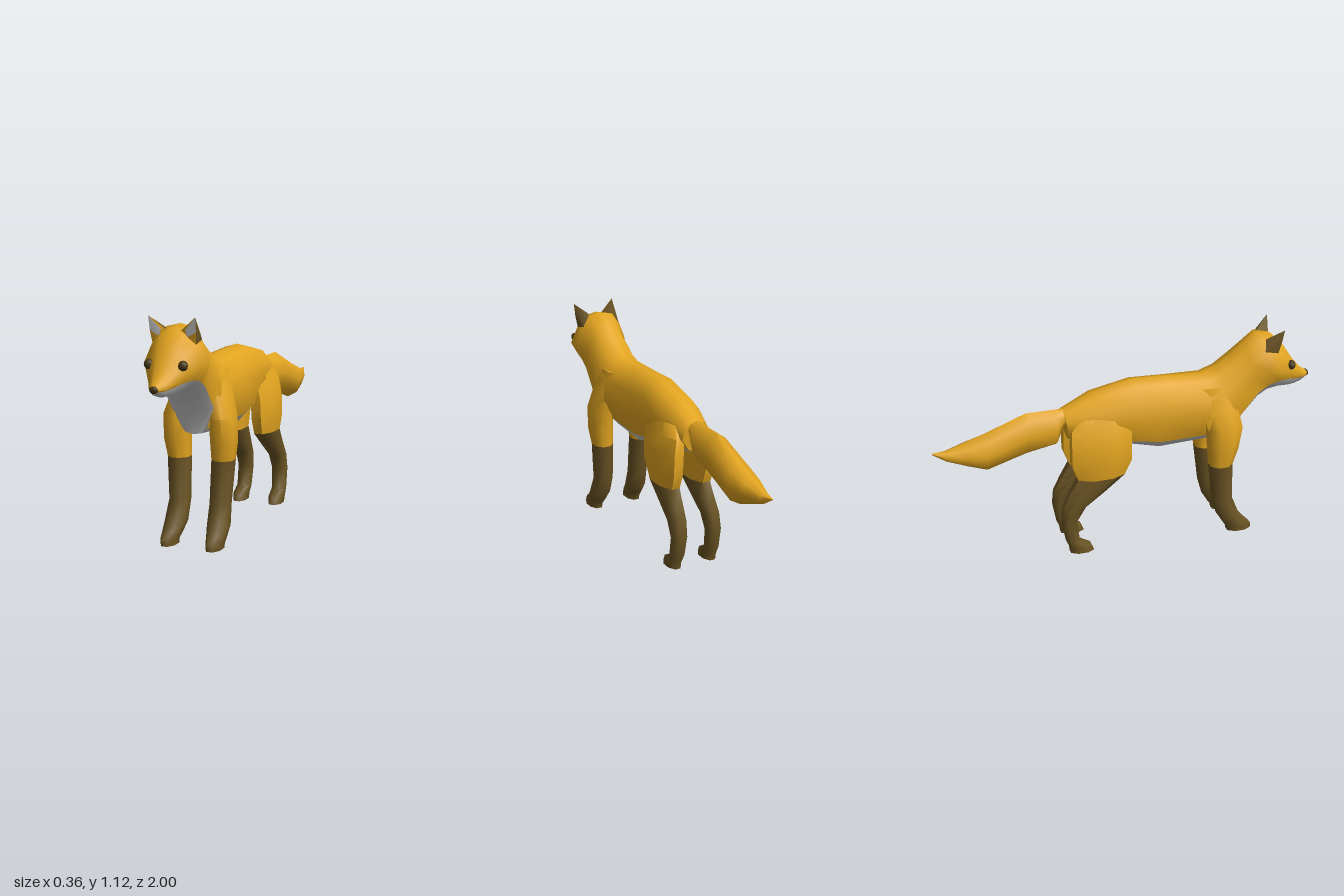
import * as THREE from 'three';
import { toCreasedNormals } from 'three/addons/utils/BufferGeometryUtils.js';

const paint = (color) => new THREE.MeshStandardMaterial({ color });
const ORANGE = paint(0xe3a520), BROWN = paint(0x6b5424), DARK = paint(0x463818), WHITE = paint(0xf5f5f5);

function mesh(name, geometry, material) {
  const m = new THREE.Mesh(geometry, material);
  m.name = name;
  return m;
}

function build(points, index) {
  const g = new THREE.BufferGeometry();
  g.setAttribute('position', new THREE.Float32BufferAttribute(points.flat(), 3));
  g.setIndex(index);
  g.computeVertexNormals();
  return toCreasedNormals(g, 1.1);
}

// Skin a list of rings; "keep" picks which columns of faces are made
function loft(rings, { keep = () => true, capStart = false, capEnd = false } = {}) {
  const n = rings[0].length, last = (rings.length - 1) * n, index = [];
  for (let i = 0; i < rings.length - 1; i++) {
    for (let j = 0; j < n; j++) {
      if (!keep(j)) continue;
      const a = i * n + j, b = i * n + (j + 1) % n;
      index.push(a, a + n, b, b, a + n, b + n);
    }
  }
  for (let j = 1; j < n - 1; j++) {
    if (capStart) index.push(0, j, j + 1);
    if (capEnd) index.push(last, last + j + 1, last + j);
  }
  return build(rings.flat(), index);
}

// Twelve-point body section: top and bottom points, half width,
// belly edge width and height fraction, fullness of the upper part
function bodyRing([zt, yt, zb, yb, w, wb, tb, k = 0.88]) {
  const half = [[0, 0], [0.58 * k * w, 0.05], [k * w, 0.27], [w, 0.56], [wb, tb],
    [0.68 * wb, tb + 0.75 * (1 - tb)], [0, 1]];
  const at = ([x, t], s) => [s * x, yt + (yb - yt) * t, zt + (zb - zt) * t];
  return [...half.map((p) => at(p, 1)), ...half.slice(1, 6).reverse().map((p) => at(p, -1))];
}

// Eight-sided leg section: height, back z, front z, inner x, outer x
function legRing([y, z0, z1, x0, x1], side) {
  return Array.from({ length: 8 }, (_, j) => {
    const a = (j + 0.5) * Math.PI / 4, k = 1 / Math.cos(Math.PI / 8);
    return [side * (x0 + x1) / 2 + k * Math.sin(a) * (x1 - x0) / 2, y,
      (z0 + z1) / 2 + k * Math.cos(a) * (z1 - z0) / 2];
  });
}

function leg(name, upper, lower, side) {
  const g = new THREE.Group();
  g.name = name;
  const ring = (r) => legRing(r, side);
  g.add(mesh('upperLeg', loft(upper.map(ring), { capStart: true }), ORANGE));
  g.add(mesh('stocking', loft([upper.at(-1), ...lower].map(ring), { capEnd: true }), BROWN));
  return g;
}

// Ear pyramid with a dark back, coat-coloured rim and pale hollow
function ear(side) {
  const g = new THREE.Group();
  g.name = side > 0 ? 'leftEar' : 'rightEar';
  const tip = [0.116, 1.12, 0.8], inner = [0.035, 1.055, 0.775], outer = [0.108, 0.995, 0.775];
  const hollowIn = [0.06, 1.06, 0.785], hollowLow = [0.07, 1.028, 0.785], hollowOut = [0.114, 1.052, 0.788];
  const base = [0.06, 1.0, 0.78], back = [0.108, 1.01, 0.705], innerBack = [0.052, 1.045, 0.7];
  const face = (name, mat, ...tris) => {
    const pts = tris.flat().map(([x, y, z]) => [side * x, y, z]);
    const idx = tris.flatMap((_, i) => side > 0 ? [3 * i, 3 * i + 1, 3 * i + 2] : [3 * i, 3 * i + 2, 3 * i + 1]);
    g.add(mesh(name, build(pts, idx), mat));
  };
  face('earBack', BROWN, [tip, hollowOut, back], [hollowOut, outer, back],
    [tip, back, innerBack], [tip, innerBack, inner]);
  face('earRim', ORANGE, [tip, inner, hollowIn], [inner, base, hollowLow], [inner, hollowLow, hollowIn],
    [hollowLow, base, outer], [hollowLow, outer, hollowOut]);
  face('earHollow', WHITE, [tip, hollowIn, hollowLow], [tip, hollowLow, hollowOut]);
  face('earBase', BROWN, [base, inner, innerBack], [base, innerBack, back], [base, back, outer]);
  return g;
}

export function createModel() {
  const fox = new THREE.Group();
  fox.name = 'fox';

  // Torso, neck and head in one skin, rump to muzzle
  const body = [
    [-0.335, 0.787, -0.315, 0.63, 0.075, 0.035, 0.93],
    [-0.18, 0.86, -0.22, 0.595, 0.11, 0.06, 0.92],
    [0.03, 0.905, 0.0, 0.565, 0.12, 0.085, 0.9],
    [0.2, 0.9, 0.16, 0.52, 0.122, 0.085, 0.87],
    [0.41, 0.89, 0.4, 0.53, 0.14, 0.08, 0.89],
    [0.48, 0.92, 0.57, 0.54, 0.13, 0.065, 0.92],
    [0.56, 0.975, 0.59, 0.645, 0.122, 0.112, 0.9],
    [0.62, 1.025, 0.69, 0.745, 0.118, 0.11, 0.84, 0.82],
    [0.7, 1.08, 0.74, 0.775, 0.153, 0.11, 0.84, 0.76],
    [0.77, 1.067, 0.8, 0.78, 0.145, 0.105, 0.8, 0.76],
    [0.84, 1.0, 0.87, 0.77, 0.1, 0.08, 0.74, 0.82],
    [0.9, 0.91, 0.91, 0.77, 0.066, 0.055, 0.68],
    [0.95, 0.855, 0.95, 0.78, 0.042, 0.036, 0.65],
    [0.99, 0.828, 0.98, 0.797, 0.022, 0.019, 0.7],
  ].map(bodyRing);
  const isBelly = (j) => j >= 4 && j <= 7;
  fox.add(mesh('coat', loft(body, { keep: (j) => !isBelly(j), capStart: true, capEnd: true }), ORANGE));
  fox.add(mesh('chestAndBelly', loft(body, { keep: isBelly }), WHITE));

  // Tail: z, bottom y, top y, half width
  const tail = [
    [-0.3, 0.71, 0.78, 0.035], [-0.335, 0.7, 0.793, 0.047], [-0.37, 0.6, 0.793, 0.055],
    [-0.52, 0.572, 0.793, 0.065], [-0.73, 0.51, 0.712, 0.075], [-0.83, 0.55, 0.676, 0.063],
    [-0.93, 0.59, 0.645, 0.028], [-0.995, 0.634, 0.642, 0.003],
  ].map(([z, y0, y1, w]) => Array.from({ length: 8 }, (_, j) => {
    const a = j * Math.PI / 4;
    return [-w * Math.sin(a), (y0 + y1) / 2 + Math.cos(a) * (y1 - y0) / 2, z];
  }));
  fox.add(mesh('tail', loft(tail, { capStart: true, capEnd: true }), ORANGE));

  // Legs: rings from the shoulder or hip down to the sole
  const foreUpper = [
    [0.84, 0.36, 0.53, 0.04, 0.105], [0.72, 0.37, 0.565, 0.05, 0.145], [0.62, 0.4, 0.585, 0.06, 0.177],
    [0.5, 0.41, 0.565, 0.062, 0.18], [0.41, 0.42, 0.54, 0.062, 0.168],
  ];
  const foreLower = [
    [0.2, 0.445, 0.55, 0.058, 0.155], [0.1, 0.475, 0.59, 0.06, 0.163],
    [0.06, 0.5, 0.625, 0.07, 0.16], [0.025, 0.525, 0.66, 0.08, 0.157], [0, 0.53, 0.66, 0.08, 0.155],
  ];
  const hindUpper = [
    [0.8, -0.23, -0.04, 0.03, 0.085], [0.7, -0.31, 0.0, 0.03, 0.127], [0.61, -0.315, -0.002, 0.025, 0.15],
    [0.51, -0.315, -0.005, 0.03, 0.152], [0.43, -0.285, -0.04, 0.035, 0.142],
  ];
  const hindLower = [
    [0.35, -0.33, -0.14, 0.045, 0.138], [0.27, -0.368, -0.25, 0.055, 0.137],
    [0.19, -0.375, -0.3, 0.06, 0.137], [0.08, -0.355, -0.285, 0.065, 0.137],
    [0.045, -0.34, -0.225, 0.065, 0.14], [0.01, -0.335, -0.21, 0.067, 0.138],
  ];
  for (const side of [1, -1]) {
    const prefix = side > 0 ? 'left' : 'right';
    fox.add(leg(prefix + 'FrontLeg', foreUpper, foreLower, side));
    fox.add(leg(prefix + 'HindLeg', hindUpper, hindLower, side));
    fox.add(ear(side));
    const eye = mesh(prefix + 'Eye', new THREE.SphereGeometry(0.024, 8, 6), DARK);
    eye.position.set(side * 0.084, 0.91, 0.862);
    fox.add(eye);
  }

  // Nose
  const nose = mesh('nose', new THREE.SphereGeometry(0.022, 8, 6), DARK);
  nose.scale.set(1, 0.8, 0.6);
  nose.position.set(0, 0.816, 0.987);
  fox.add(nose);

  return fox;
}
